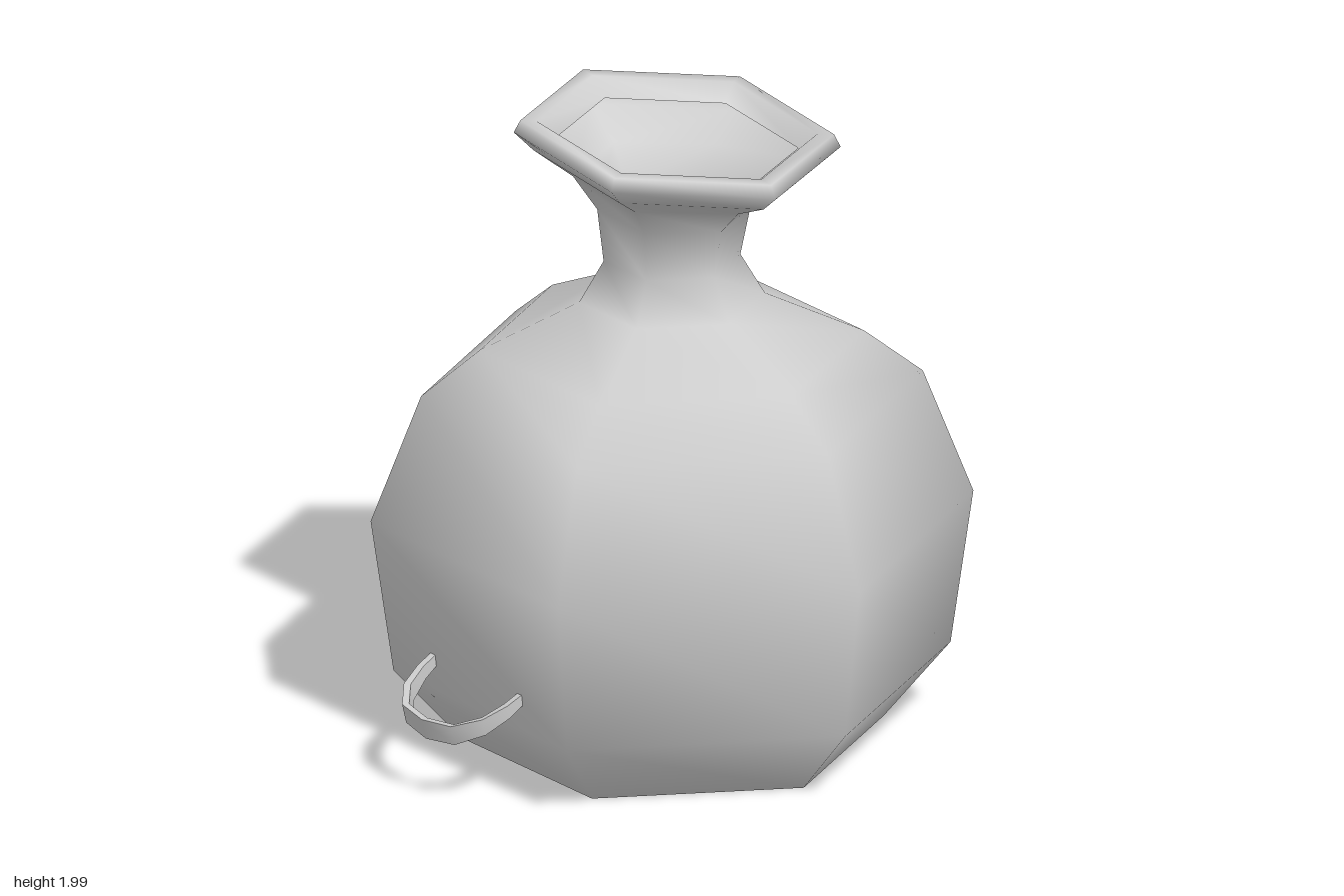
import * as THREE from 'three';
import { mergeVertices, toCreasedNormals } from 'three/addons/utils/BufferGeometryUtils.js';

const material = new THREE.MeshStandardMaterial({ color: 0xcccccc, side: THREE.DoubleSide });

// Six-sided turned body, with a slightly tilted and twisted mouth
function bodyGeometry() {
  const profile = [
    [0.65, 0], [0.855, 0.23], [0.925, 0.72], [0.77, 1.12], [0.59, 1.26], [0.285, 1.4],
    [0.21, 1.53], [0.235, 1.69], [0.315, 1.785],
    [0.44, 1.855], [0.5, 1.91], [0.48, 1.95], [0.43, 1.95], [0.37, 1.9],
  ].map(([r, y]) => new THREE.Vector2(r, y));
  let geo = new THREE.LatheGeometry(profile, 6);
  const pos = geo.attributes.position;
  for (let i = 0; i < pos.count; i++) {
    const x = pos.getX(i), y = pos.getY(i), z = pos.getZ(i);
    const w = THREE.MathUtils.clamp((y - 1.6) / 0.25, 0, 1);
    pos.setXYZ(i, x - 0.025 * w * z + 0.02 * w, y - w * (0.06 * x + 0.08 * z), z + 0.025 * w * x);
  }
  // Weld the seam so the shading runs smoothly around
  geo.deleteAttribute('uv');
  geo.deleteAttribute('normal');
  geo = mergeVertices(geo, 1e-4);
  geo.computeVertexNormals();
  return geo;
}

// Curved strap handle, broadening and dropping away from the body
function handleGeometry() {
  const half = [[0.73, 0.215], [0.8, 0.21], [0.87, 0.185], [0.93, 0.115], [0.947, 0]];
  const path = [...half, ...half.slice(0, -1).reverse().map(([x, z]) => [x, -z])];
  const positions = [], index = [];
  path.forEach(([x, z], i) => {
    const a = path[Math.max(i - 1, 0)], b = path[Math.min(i + 1, path.length - 1)];
    const out = new THREE.Vector2(a[1] - b[1], b[0] - a[0]).normalize().multiplyScalar(0.011);
    const t = (x - 0.73) / 0.217;
    const y = 0.348 - 0.126 * t, h = 0.015 + 0.018 * t;
    // Corners: outer top, outer bottom, inner bottom, inner top
    for (const [side, up] of [[1, 1], [1, -1], [-1, -1], [-1, 1]]) {
      positions.push(x + side * out.x + up * h * 0.25, y + up * h, z + side * out.y);
    }
    if (i === 0) return;
    for (let k = 0; k < 4; k++) {
      const p = (i - 1) * 4 + k, q = (i - 1) * 4 + (k + 1) % 4;
      index.push(p, q, q + 4, p, q + 4, p + 4);
    }
  });
  const geo = new THREE.BufferGeometry();
  geo.setAttribute('position', new THREE.Float32BufferAttribute(positions, 3));
  geo.setIndex(index);
  return toCreasedNormals(geo, 0.8);
}

export function createModel() {
  const group = new THREE.Group();
  const add = (name, geo) => {
    const mesh = new THREE.Mesh(geo, material);
    mesh.name = name;
    group.add(mesh);
    return mesh;
  };

  add('potBody', bodyGeometry());

  // Flat hexagonal base, facing down
  const base = add('base', new THREE.CircleGeometry(0.65, 6, Math.PI / 2));
  base.rotation.x = Math.PI / 2;

  const handle = handleGeometry();
  add('leftHandle', handle);
  add('rightHandle', handle).rotation.y = Math.PI;

  return group;
}
